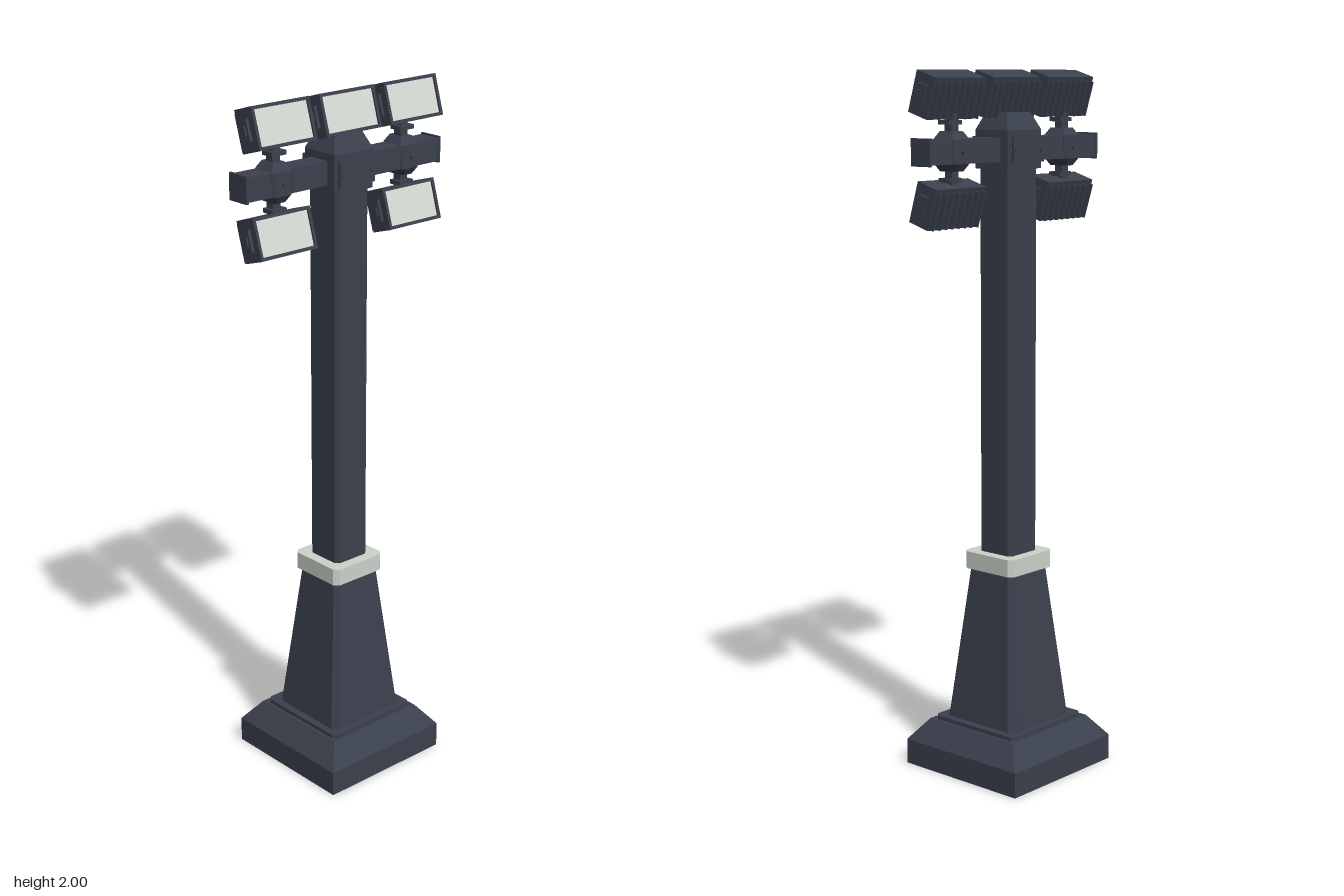
import * as THREE from 'three';

const paint = new THREE.MeshStandardMaterial({ color: 0x3a404d });
paint.name = 'slate paint';
const trim = new THREE.MeshStandardMaterial({ color: 0xcad3ca });
trim.name = 'pale collar';
const glass = new THREE.MeshStandardMaterial({ color: 0xd5dbd4 });
glass.name = 'lamp glass';

// Stack of chamfered square rings, each [y, halfX, chamfer, halfZ = halfX], flat shaded
function loft(name, rings, material = paint) {
  const loops = rings.map(([y, w, c, d = w]) => [
    [w, d - c], [w, -d + c], [w - c, -d], [-w + c, -d],
    [-w, -d + c], [-w, d - c], [-w + c, d], [w - c, d],
  ].map(([x, z]) => [x, y, z]));
  const pos = [];
  const tri = (...points) => points.forEach((p) => pos.push(...p));
  for (let i = 0; i + 1 < loops.length; i++) {
    for (let j = 0; j < 8; j++) {
      const k = (j + 1) % 8;
      const [lo, hi] = [loops[i], loops[i + 1]];
      tri(lo[j], lo[k], hi[k]);
      tri(lo[j], hi[k], hi[j]);
    }
  }
  const bottom = loops[0], top = loops[loops.length - 1];
  for (let j = 1; j < 7; j++) {
    tri(top[0], top[j], top[j + 1]);
    tri(bottom[0], bottom[j + 1], bottom[j]);
  }
  const geometry = new THREE.BufferGeometry();
  geometry.setAttribute('position', new THREE.Float32BufferAttribute(pos, 3));
  geometry.computeVertexNormals();
  const mesh = new THREE.Mesh(geometry, material);
  mesh.name = name;
  return mesh;
}

function box(name, [w, h, d], [x, y, z], material = paint) {
  const mesh = new THREE.Mesh(new THREE.BoxGeometry(w, h, d), material);
  mesh.position.set(x, y, z);
  mesh.name = name;
  return mesh;
}

function bolt(x, y, z, length = 0.012) {
  const geometry = new THREE.CylinderGeometry(0.007, 0.007, length, 6).rotateX(Math.PI / 2);
  const mesh = new THREE.Mesh(geometry, paint);
  mesh.position.set(x, y, z);
  mesh.name = 'bolt';
  return mesh;
}

// Rectangular frame with an opening, extruded along z
function frameGeometry(w, h, border, depth) {
  const rect = (path, x, y) => path.moveTo(-x, -y).lineTo(x, -y).lineTo(x, y).lineTo(-x, y).closePath();
  const shape = rect(new THREE.Shape(), w / 2, h / 2);
  shape.holes.push(rect(new THREE.Path(), w / 2 - border, h / 2 - border));
  return new THREE.ExtrudeGeometry(shape, { depth, bevelEnabled: false });
}

// Floodlight: housing, recessed glass, rear cooling fins and side pivots
function floodlight(x, y) {
  const W = 0.196, H = 0.115, D = 0.07;
  const lamp = new THREE.Group();
  lamp.name = 'floodlight';
  lamp.add(box('housing', [W, H, D - 0.01], [0, 0, -0.005]));
  const frame = new THREE.Mesh(frameGeometry(W, H, 0.009, 0.01), paint);
  frame.position.z = D / 2 - 0.01;
  frame.name = 'lampFrame';
  lamp.add(frame);
  lamp.add(box('lampGlass', [W - 0.018, H - 0.018, 0.005], [0, 0, D / 2 - 0.0075], glass));
  for (let i = 0; i < 8; i++) {
    lamp.add(box('coolingFin', [0.006, H - 0.014, 0.014], [-0.0875 + i * 0.025, -0.004, -D / 2 - 0.005]));
  }
  for (const s of [-1, 1]) {
    lamp.add(box('pivotPlate', [0.01, 0.06, 0.03], [s * (W / 2 + 0.004), 0, 0]));
    lamp.add(box('pivotKnob', [0.006, 0.025, 0.016], [s * (W / 2 + 0.011), 0, 0]));
  }
  lamp.position.set(x, y, 0.015);
  lamp.rotation.x = -0.297;
  return lamp;
}

export function createModel() {
  const model = new THREE.Group();
  model.name = 'floodlightMast';

  // Plinth, tapered pedestal, collar and column
  model.add(loft('plinth', [[0, 0.21, 0.0005], [0.073, 0.21, 0.0005], [0.135, 0.162, 0.0005]]));
  model.add(loft('plinthCap', [[0.133, 0.152, 0.012], [0.146, 0.152, 0.012]]));
  model.add(loft('pedestal', [[0.146, 0.13, 0.018], [0.595, 0.081, 0.013]]));
  model.add(loft('collar', [[0.59, 0.092, 0.014], [0.64, 0.092, 0.014]], trim));
  model.add(loft('column', [[0.64, 0.06, 0.011], [1.75, 0.06, 0.011]]));

  // Hub at the head of the column
  model.add(loft('hub', [[1.732, 0.07, 0.012], [1.838, 0.07, 0.012], [1.885, 0.048, 0.01]]));
  for (const s of [-1, 1]) {
    model.add(box('hubPlate', [0.126, 0.07, 0.008], [0, 1.785, s * 0.072]));
    for (const x of [-0.052, 0.052]) model.add(bolt(x, 1.785, s * 0.074));
  }

  // Cross arm with end plates
  model.add(box('crossArm', [0.69, 0.066, 0.066], [0, 1.785, 0]));
  for (const s of [-1, 1]) {
    model.add(box('armEndPlate', [0.008, 0.074, 0.07], [s * 0.346, 1.785, 0]));

    // Clamp and post carrying the outer pair of floodlights
    const x = s * 0.23;
    const clamp = loft('clamp', [
      [1.732, 0.02, 0.006, 0.03], [1.752, 0.033, 0.008, 0.042],
      [1.818, 0.033, 0.008, 0.042], [1.838, 0.02, 0.006, 0.03],
    ]);
    clamp.position.x = x;
    model.add(clamp);
    model.add(box('lampPost', [0.026, 0.2, 0.026], [x, 1.785, 0]));
    for (const y of [1.708, 1.862]) model.add(box('postFlange', [0.05, 0.012, 0.04], [x, y, 0.005]));
    for (const z of [-0.044, 0.044]) model.add(bolt(x, 1.785, z));

    model.add(floodlight(x, 1.935));
    model.add(floodlight(x, 1.643));
    model.add(box('lampLink', [0.03, 0.012, 0.012], [s * 0.115, 1.935, 0.015]));
  }
  model.add(floodlight(0, 1.935));

  return model;
}
